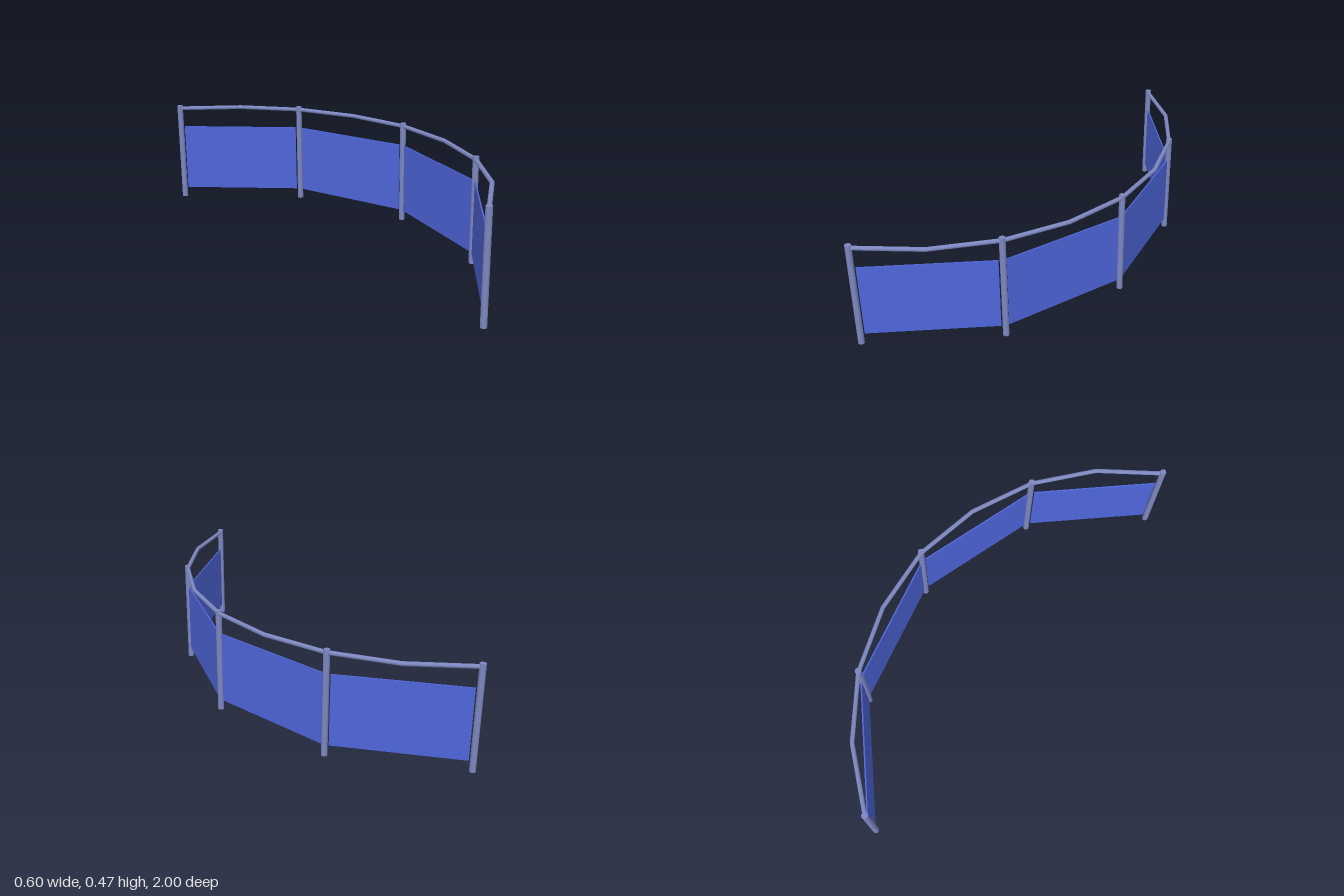
import * as THREE from 'three';

export function createModel() {
  const group = new THREE.Group();
  group.name = 'curvedBarrier';
  const metal = new THREE.MeshStandardMaterial({ name: 'steel blue', color: 0x7c87c0 });
  const blue = new THREE.MeshStandardMaterial({ name: 'panel blue', color: 0x4f66dc });

  const add = (name, geometry, material, x, y, z) => {
    const mesh = new THREE.Mesh(geometry, material);
    mesh.name = name;
    mesh.position.set(x, y, z);
    group.add(mesh);
    return mesh;
  };

  // Plan of the arc as [x, z]; every second point carries a post
  const half = [[-0.286, 0.987], [-0.05, 0.805], [0.131, 0.57], [0.243, 0.295]];
  const plan = [...half, [0.285, 0], ...half.map(([x, z]) => [x, -z]).reverse()];
  const railY = 0.456, railR = 0.0095;

  // Upright posts
  const postGeo = new THREE.CylinderGeometry(0.0135, 0.0135, 0.47, 20);
  const posts = plan.filter((p, i) => i % 2 === 0);
  posts.forEach(([x, z]) => add('post', postGeo, metal, x, 0.235, z));

  // Top rail: straight tubes with rounded joints at the bends
  const jointGeo = new THREE.SphereGeometry(railR, 16, 12);
  for (let i = 0; i < plan.length - 1; i++) {
    const [x0, z0] = plan[i], [x1, z1] = plan[i + 1];
    const geo = new THREE.CylinderGeometry(railR, railR, Math.hypot(x1 - x0, z1 - z0), 16);
    geo.rotateX(Math.PI / 2);
    const rail = add('topRail', geo, metal, (x0 + x1) / 2, railY, (z0 + z1) / 2);
    rail.rotation.y = Math.atan2(x1 - x0, z1 - z0);
    if (i % 2 === 1 || i > 0) add('railJoint', jointGeo, metal, x0, railY, z0);
  }

  // Flat infill panels between neighbouring posts, with a small gap at each end
  for (let i = 0; i < posts.length - 1; i++) {
    const [x0, z0] = posts[i], [x1, z1] = posts[i + 1];
    const length = Math.hypot(x1 - x0, z1 - z0) - 0.036;
    const panel = add('panel', new THREE.BoxGeometry(0.006, 0.318, length), blue,
      (x0 + x1) / 2, 0.206, (z0 + z1) / 2);
    panel.rotation.y = Math.atan2(x1 - x0, z1 - z0);
  }
  return group;
}
